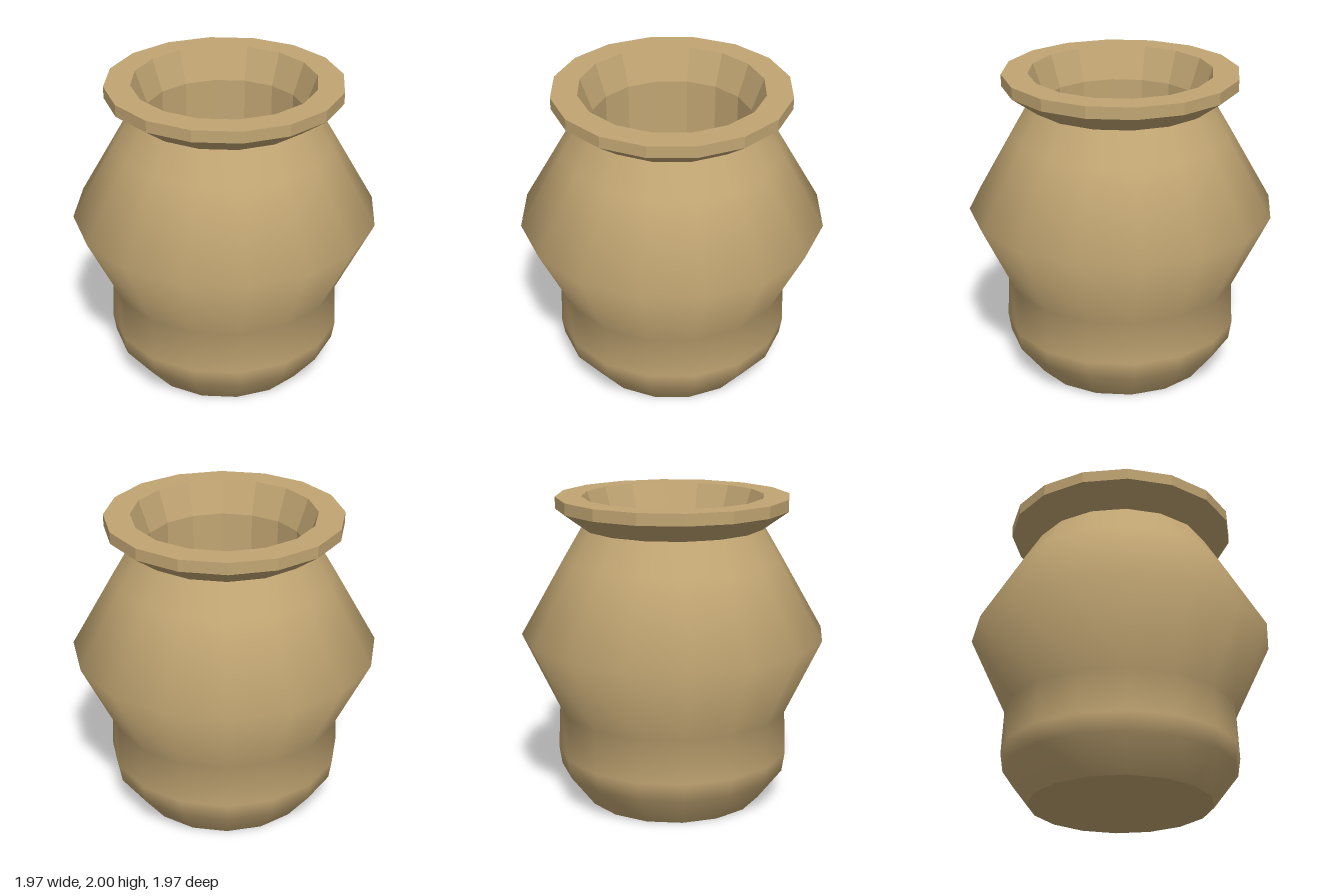
import * as THREE from 'three';

const SIDES = 16;

// Revolve [radius, height] pairs; facets get their own flat normals if asked.
function lathe(name, profile, material, faceted) {
  let geometry = new THREE.LatheGeometry(
    profile.map(([r, y]) => new THREE.Vector2(r, y)), SIDES);
  if (faceted) {
    geometry = geometry.toNonIndexed();
    geometry.computeVertexNormals();
  }
  const mesh = new THREE.Mesh(geometry, material);
  mesh.name = name;
  return mesh;
}

export function createModel() {
  const clay = new THREE.MeshStandardMaterial({ color: 0xc2a673 });
  clay.name = 'clay';

  const pot = new THREE.Group();
  pot.name = 'pot';

  // Smooth-shaded body with a foot, a waist and a wide shoulder
  pot.add(lathe('body', [
    [0.585, 0], [0.745, 0.21], [0.763, 0.33], [0.75, 0.61],
    [0.985, 1.11], [0.7, 1.61], [0.585, 1.805],
  ], clay, false));

  // Flat underside
  const base = new THREE.Mesh(new THREE.CircleGeometry(0.585, SIDES), clay);
  base.name = 'base';
  base.rotation.x = Math.PI / 2;
  pot.add(base);

  // Faceted flaring lip, flat on top, sloping in to the neck
  pot.add(lathe('rim', [
    [0.585, 1.805], [0.75, 1.925], [0.75, 2], [0.585, 2], [0.51, 1.79],
  ], clay, true));

  // Hollow inside
  pot.add(lathe('innerWall', [[0.51, 1.79], [0.51, 0.2]], clay, true));
  const floor = new THREE.Mesh(new THREE.CircleGeometry(0.51, SIDES), clay);
  floor.name = 'innerFloor';
  floor.rotation.x = -Math.PI / 2;
  floor.position.y = 0.2;
  pot.add(floor);

  return pot;
}
